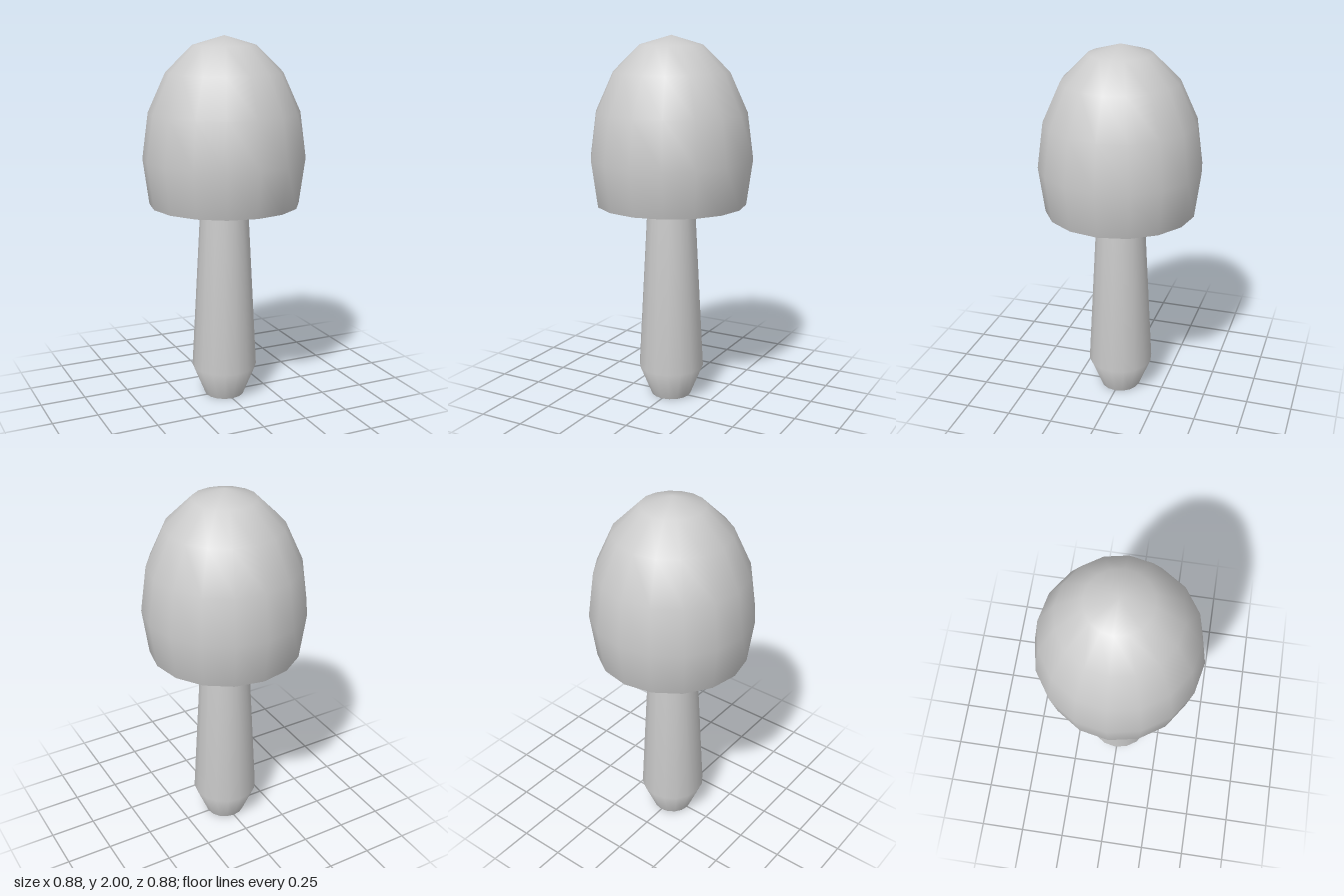
import * as THREE from 'three';

const SIDES = 16;

export function createModel() {
  const model = new THREE.Group();
  const material = new THREE.MeshStandardMaterial({ color: 0xcccccc, side: THREE.DoubleSide });

  // Hollow cap: a stretched sphere cut off one ring below its equator
  const capGeometry = new THREE.SphereGeometry(0.44, SIDES, 5, 0, Math.PI * 2, 0, Math.PI * 0.625);
  capGeometry.scale(1, 0.65 / 0.44, 1);
  const cap = new THREE.Mesh(capGeometry, material);
  cap.name = 'cap';
  cap.position.y = 1.35;
  model.add(cap);

  // Open tapered stem, widest just above the foot and running up into the cap
  const profile = [[0.11, 0], [0.18, 0.17], [0.13, 1.1], [0.085, 1.96]];
  const stem = new THREE.Mesh(
    new THREE.LatheGeometry(profile.map(([r, y]) => new THREE.Vector2(r, y)), SIDES),
    material
  );
  stem.name = 'stem';
  model.add(stem);

  return model;
}
